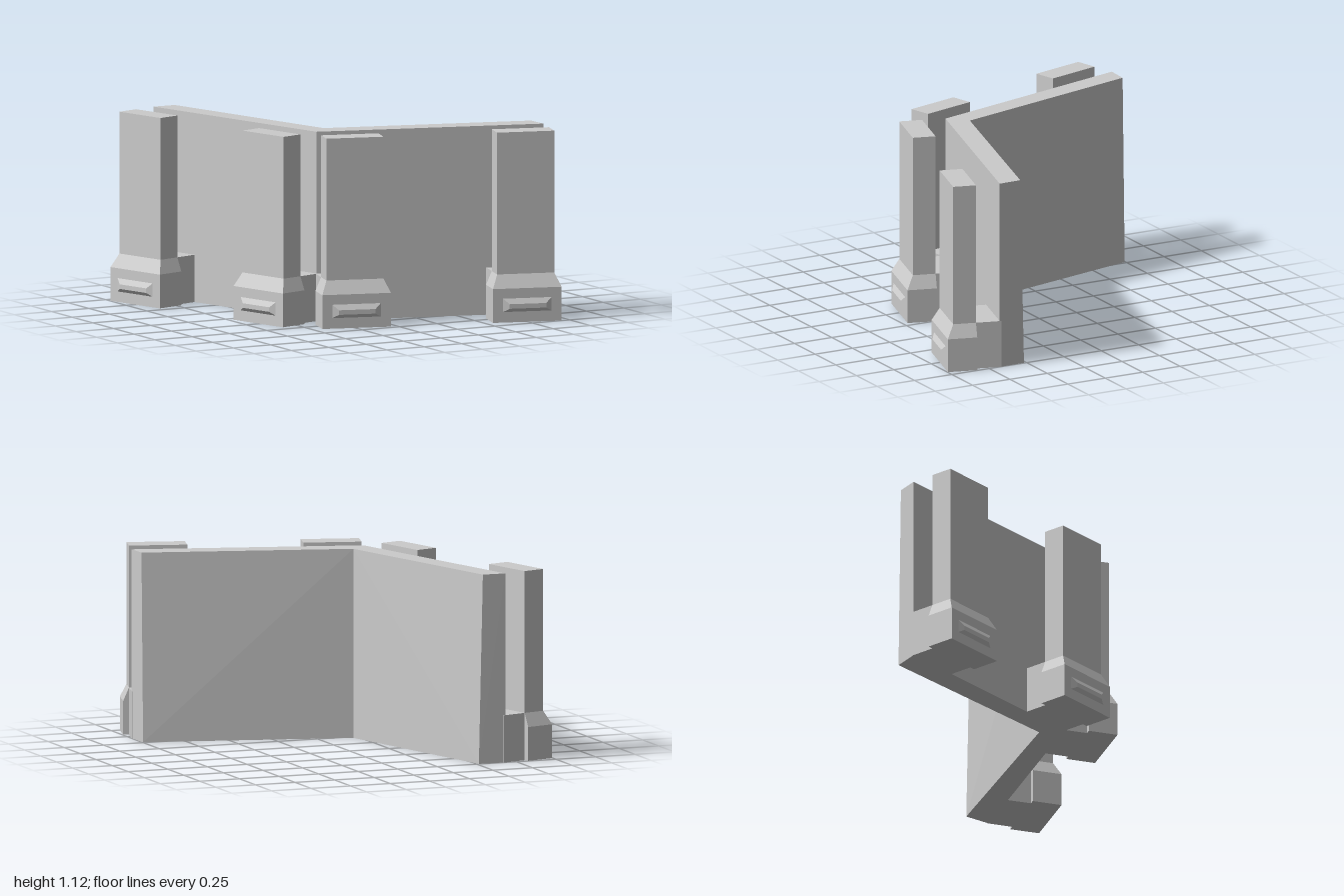
import * as THREE from 'three';
import { ConvexGeometry } from 'three/addons/geometries/ConvexGeometry.js';

const HEIGHT = 1.12;
const BASE_TOP = 0.28;
const ANGLE = Math.atan2(0.37, 1.32);
const CORNER = [-0.32, 0.31];

// Plan position: s runs along the wing's outer face, n points away from it.
function plan(s, n) {
  const c = Math.cos(ANGLE), d = Math.sin(ANGLE);
  return [CORNER[0] + s * c - n * d, CORNER[1] + s * d + n * c];
}

// One level of a solid: a rectangle in wing coordinates at height y.
function level(y, s0, s1, n0, n1) {
  return [[s0, n0], [s1, n0], [s1, n1], [s0, n1]].map(([s, n]) => {
    const [x, z] = plan(s, n);
    return [x, y, z];
  });
}

export function createModel() {
  const model = new THREE.Group();
  model.name = 'angledWall';
  const material = new THREE.MeshStandardMaterial({ color: 0xcccccc, flatShading: true });

  // The second wing mirrors the first across the diagonal of the plan.
  for (const mirrored of [false, true]) {
    const wing = new THREE.Group();
    wing.name = mirrored ? 'rightWing' : 'leftWing';
    model.add(wing);

    const solid = (name, points, parent) => {
      const vectors = points.map(([x, y, z]) =>
        mirrored ? new THREE.Vector3(-z, y, -x) : new THREE.Vector3(x, y, z));
      const mesh = new THREE.Mesh(new ConvexGeometry(vectors), material);
      mesh.name = name;
      parent.add(mesh);
    };

    // Wall panel, slightly thicker at the foot of its free end
    const panel = [[0, 0.515], [HEIGHT, 0.54]].flatMap(([y, innerZ]) => [
      [-0.315, y, 0.315], [-0.21, y, 0.21], [0.995, y, innerZ], [1, y, 0.68],
    ]);
    solid('wallPanel', panel, wing);

    // Free-standing columns, each tied to the wall by a low block
    for (const [i, centre] of [0.172, 1.199].entries()) {
      const column = new THREE.Group();
      column.name = i === 0 ? 'innerColumn' : 'outerColumn';
      wing.add(column);
      const s0 = centre - 0.172, s1 = centre + 0.172;

      solid('connector', [
        ...level(0, s0, s1, -0.01, 0.15), ...level(BASE_TOP, s0, s1, -0.01, 0.15),
      ], column);

      solid('shaft', [
        ...level(BASE_TOP, s0, s1, 0.143, 0.28), ...level(HEIGHT, s0, s1, 0.143, 0.28),
      ], column);

      // Plinth with a sloping shoulder on the front and sides
      solid('plinth', [
        ...level(0, s0 - 0.034, s1 + 0.034, 0.143, 0.32),
        ...level(0.2, s0 - 0.034, s1 + 0.034, 0.143, 0.32),
        ...level(BASE_TOP, s0, s1, 0.143, 0.28),
      ], column);

      // Raised bevelled boss on the plinth front
      const boss = [[0.15, 0.06, 0.145, 0.318], [0.11, 0.083, 0.11, 0.338]]
        .flatMap(([half, y0, y1, n]) => [[-half, y0], [half, y0], [half, y1], [-half, y1]]
          .map(([s, y]) => {
            const [x, z] = plan(centre + s, n);
            return [x, y, z];
          }));
      solid('boss', boss, column);
    }
  }
  return model;
}
